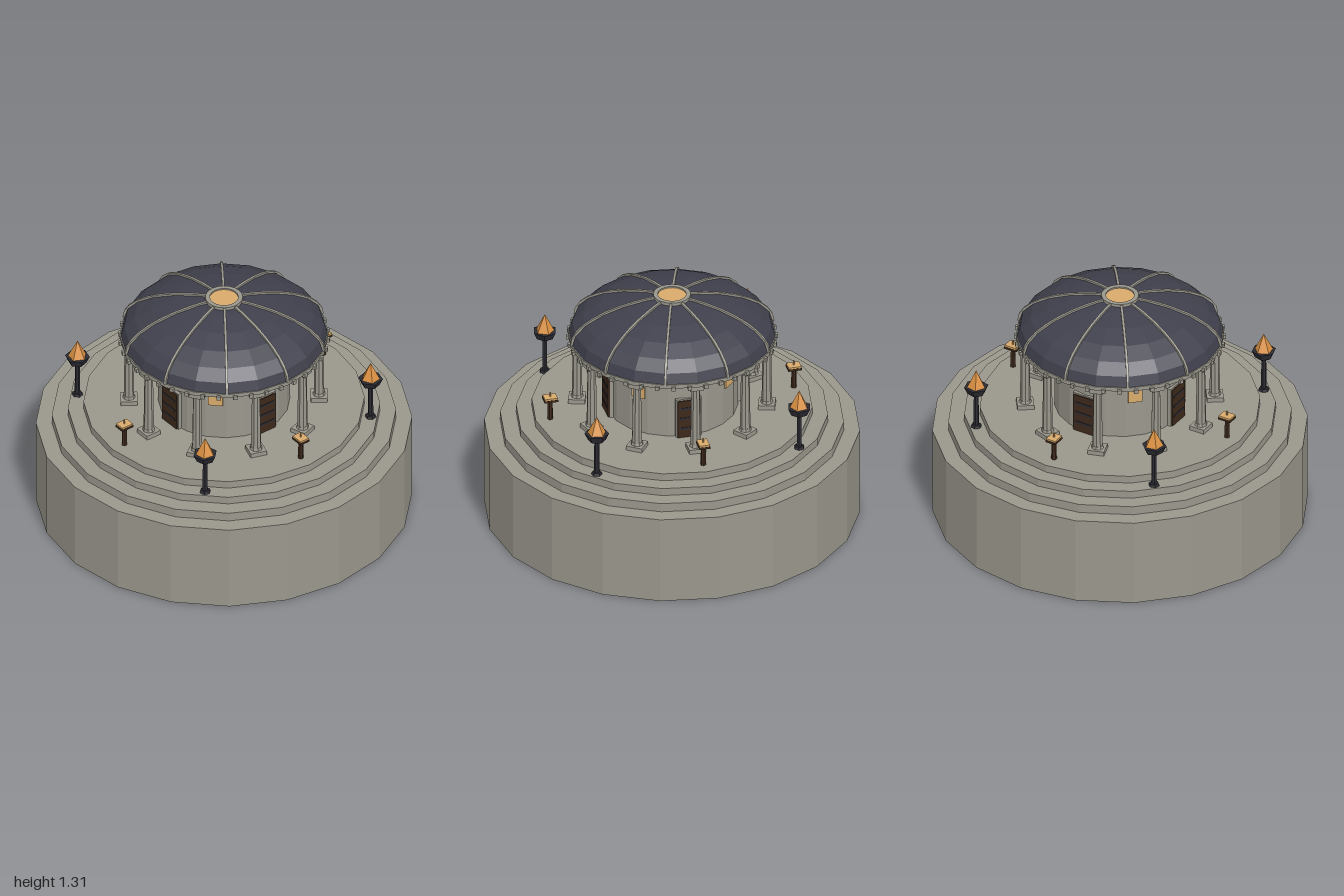
import * as THREE from 'three';

const mat = (name, color) => Object.assign(new THREE.MeshStandardMaterial({ color }), { name });
const stone = mat('stone', 0x9a978c);
const slate = mat('slate', 0x40404d);
const iron = mat('iron', 0x2c2c34);
const wood = mat('wood', 0x3e291b);
const glow = mat('warm glow', 0xd9ab6c);
const fire = mat('fire', 0xdb9142);

// Faceted mesh: every face gets its own normal
function add(parent, name, geometry, material, x = 0, y = 0, z = 0) {
  const g = geometry.index ? geometry.toNonIndexed() : geometry;
  g.computeVertexNormals();
  const mesh = new THREE.Mesh(g, material);
  mesh.name = name;
  mesh.position.set(x, y, z);
  parent.add(mesh);
  return mesh;
}
const box = (w, h, d) => new THREE.BoxGeometry(w, h, d);

// Cylinder standing between two heights
function drum(parent, name, rTop, rBottom, y0, y1, sides, material) {
  return add(parent, name, new THREE.CylinderGeometry(rTop, rBottom, y1 - y0, sides), material, 0, (y0 + y1) / 2, 0);
}

// Copies of a part turned around the y axis; each is built facing +z
function around(parent, name, count, offset, build) {
  for (let i = 0; i < count; i++) {
    const g = new THREE.Group();
    g.name = name;
    g.rotation.y = offset + (i * Math.PI * 2) / count;
    build(g);
    parent.add(g);
  }
}

const FLOOR = 0.635;
const DOME_R = 0.55, DOME_H = 0.23, DOME_Y = 1.065;

function buildColumn(g) {
  const c = new THREE.Group();
  c.name = 'columnBody';
  c.position.z = 0.505;
  add(c, 'columnBase', box(0.09, 0.025, 0.09), stone, 0, FLOOR + 0.0125, 0);
  drum(c, 'columnFoot', 0.03, 0.034, 0.66, 0.675, 8, stone);
  drum(c, 'columnShaft', 0.023, 0.028, 0.675, 1.015, 8, stone);
  add(c, 'columnCapital', box(0.074, 0.03, 0.074), stone, 0, 1.03, 0);
  g.add(c);
}

function buildDoor(g) {
  add(g, 'doorFrame', box(0.14, 0.23, 0.03), stone, 0, 0.75, 0.345);
  add(g, 'doorPanel', box(0.125, 0.222, 0.03), wood, 0, 0.746, 0.352);
  for (const y of [0.69, 0.75, 0.81]) add(g, 'doorBand', box(0.1, 0.012, 0.006), iron, 0, y, 0.367);
}

function buildWindow(g) {
  add(g, 'windowPane', box(0.078, 0.108, 0.008), glow, 0, 0.902, 0.351);
}

// Curved rib following the dome from cornice to oculus
function buildRib(g) {
  const shape = new THREE.Shape();
  const n = 8;
  const point = (i, lift) => {
    const a = (i / n) * 1.4;
    return [Math.cos(a) * (DOME_R + lift), DOME_Y + Math.sin(a) * (DOME_H + lift)];
  };
  shape.moveTo(...point(0, 0.01));
  for (let i = 1; i <= n; i++) shape.lineTo(...point(i, 0.01));
  for (let i = n; i >= 0; i--) shape.lineTo(...point(i, -0.01));
  const geo = new THREE.ExtrudeGeometry(shape, { depth: 0.014, bevelEnabled: false });
  geo.translate(0, 0, -0.007).rotateY(-Math.PI / 2);
  add(g, 'ribArc', geo, stone);
}

function buildBrazier(g) {
  const b = new THREE.Group();
  b.name = 'brazierBody';
  b.position.z = 0.785;
  drum(b, 'brazierFoot', 0.025, 0.03, 0.593, 0.608, 6, iron);
  drum(b, 'brazierPost', 0.013, 0.015, 0.608, 0.81, 6, iron);
  drum(b, 'brazierBowl', 0.066, 0.048, 0.805, 0.845, 6, iron);
  add(b, 'flame', new THREE.ConeGeometry(0.053, 0.105, 5), fire, 0, 0.8925, 0);
  g.add(b);
}

function buildLectern(g) {
  const l = new THREE.Group();
  l.name = 'lecternBody';
  l.position.z = 0.668;
  drum(l, 'lecternPost', 0.013, 0.015, FLOOR, 0.755, 6, wood);
  add(l, 'lecternTop', box(0.06, 0.012, 0.074), wood, 0, 0.755, 0);
  add(l, 'bookPages', box(0.056, 0.01, 0.07), glow, 0, 0.766, 0);
  add(l, 'bookSpine', box(0.006, 0.027, 0.006), glow, 0, 0.784, 0);
  g.add(l);
}

export function createModel() {
  const model = new THREE.Group();
  model.name = 'roundTemple';

  // Plinth and steps
  drum(model, 'plinth', 1, 1, 0, 0.5, 20, stone);
  drum(model, 'lowerStep', 0.915, 0.915, 0.5, 0.55, 20, stone);
  drum(model, 'middleStep', 0.83, 0.83, 0.55, 0.593, 20, stone);
  drum(model, 'upperStep', 0.747, 0.747, 0.593, FLOOR, 20, stone);

  // Inner chamber with doors on the axes and windows between them
  drum(model, 'chamber', 0.35, 0.35, FLOOR, 1.037, 20, stone);
  around(model, 'door', 4, 0, buildDoor);
  around(model, 'window', 4, Math.PI / 4, buildWindow);

  // Colonnade and cornice
  around(model, 'column', 10, Math.PI / 10, buildColumn);
  drum(model, 'cornice', 0.555, 0.555, 1.045, 1.068, 20, stone);
  around(model, 'dentil', 40, Math.PI / 40, (g) => {
    add(g, 'dentilBlock', box(0.022, 0.022, 0.025), stone, 0, 1.046, 0.55);
  });

  // Ribbed dome
  const dome = new THREE.SphereGeometry(DOME_R, 20, 6, 0, Math.PI * 2, 0, Math.PI / 2);
  dome.scale(1, DOME_H / DOME_R, 1);
  add(model, 'dome', dome, slate, 0, DOME_Y, 0);
  around(model, 'rib', 10, 0, buildRib);

  // Oculus ring and glowing disc
  const ring = new THREE.LatheGeometry(
    [[0.076, 1.28], [0.1, 1.28], [0.1, 1.307], [0.076, 1.307], [0.076, 1.28]].map((p) => new THREE.Vector2(...p)), 20);
  add(model, 'oculusRing', ring, stone);
  drum(model, 'oculusGlow', 0.077, 0.077, 1.29, 1.299, 20, glow);

  // Braziers on the diagonals, lecterns on the axes
  around(model, 'brazier', 4, Math.PI / 4, buildBrazier);
  around(model, 'lectern', 4, 0, buildLectern);

  return model;
}
